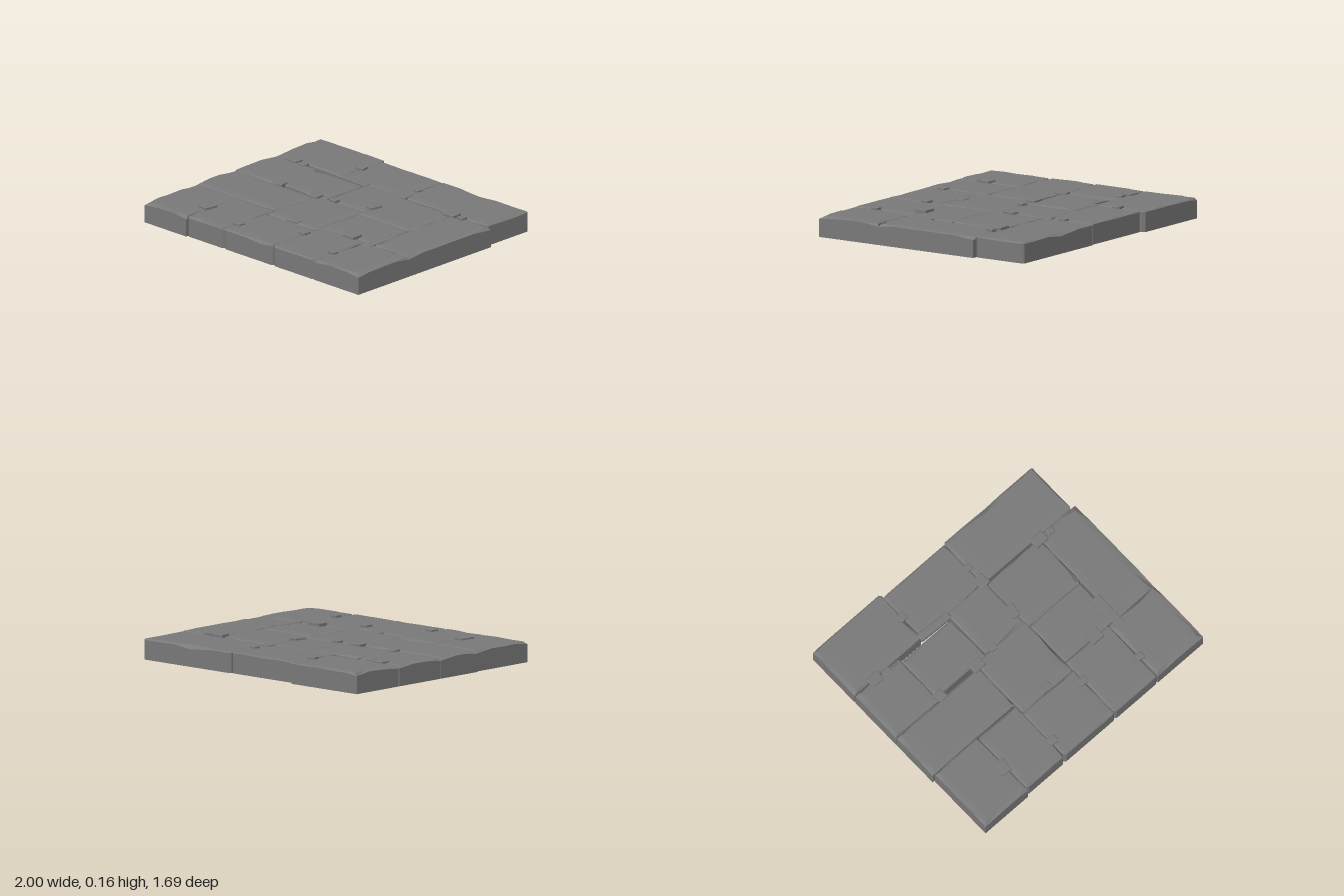
import * as THREE from 'three';

const material = new THREE.MeshStandardMaterial({ color: 0x7a7a7a, flatShading: true });

// Small seeded generator for repeatable wear
function seeded(seed) {
  let s = seed * 7919 + 17;
  return () => {
    s = (s * 16807) % 2147483647;
    return s / 2147483647;
  };
}

// Worn block: rings of a chamfered rectangle, stacked bottom -> rim -> top -> centre.
// soft lists the sides (l, r, f, b) with square corners and a wide, shallow slope.
function wornBlock({ w, d, y0, y1, corner, bevel, step, chip = 0, soft = '', seed }) {
  const rnd = seeded(seed);
  const hx = w / 2, hz = d / 2;
  const has = (side) => soft.includes(side);
  const edges = [
    { a: [-hx, hz], b: [hx, hz], sides: ['l', 'f', 'r'] },
    { a: [hx, hz], b: [hx, -hz], sides: ['f', 'r', 'b'] },
    { a: [hx, -hz], b: [-hx, -hz], sides: ['r', 'b', 'l'] },
    { a: [-hx, -hz], b: [-hx, hz], sides: ['b', 'l', 'f'] }
  ];

  const clamp = THREE.MathUtils.clamp;
  const base = [], rim = [], top = [], inner = [];
  for (const { a, b, sides } of edges) {
    const len = Math.hypot(b[0] - a[0], b[1] - a[1]);
    const [before, own, after] = sides.map(has);
    const c0 = before || own ? 0.001 : corner * (0.6 + 0.8 * rnd());
    const c1 = after || own ? 0.001 : corner * (0.6 + 0.8 * rnd());
    const n = Math.max(1, Math.round(len / step));
    for (let i = 0; i <= n; i++) {
      // Outline point, counterclockwise seen from above
      const end = i === 0 || i === n;
      const wobble = end ? 0 : (rnd() - 0.5) * 0.5;
      const t = (c0 + (len - c0 - c1) * (i + wobble) / n) / len;
      const x = a[0] + (b[0] - a[0]) * t;
      const z = a[1] + (b[1] - a[1]) * t;

      const wear = rnd() < chip ? 2 : 1;
      const k = bevel * (0.5 + rnd()) * wear;
      const slope = bevel * (1.5 + 2 * rnd());
      const softEnd = (i === 0 && (before || own)) || (i === n && (after || own));
      const drop = softEnd ? 0.022 : bevel * (0.5 + 0.7 * rnd()) * (own ? 0.8 : wear);
      const inset = (side) => (has(side) ? slope : k);

      base.push([x, y0, z]);
      rim.push([x, y1 - drop, z]);
      top.push([
        clamp(x, -hx + inset('l'), hx - inset('r')),
        y1 - bevel * (0.1 + 0.12 * rnd()),
        clamp(z, -hz + inset('b'), hz - inset('f'))
      ]);
      inner.push([x * 0.72, y1, z * 0.72]);
    }
  }

  const pos = [];
  const tri = (...p) => p.forEach((v) => pos.push(...v));
  const rings = [base, rim, top, inner];
  for (let i = 0; i < base.length; i++) {
    const j = (i + 1) % base.length;
    for (let r = 0; r < 3; r++) {
      const lo = rings[r], hi = rings[r + 1];
      tri(lo[i], lo[j], hi[j]);
      tri(lo[i], hi[j], hi[i]);
    }
    tri([0, y1, 0], inner[i], inner[j]);
    tri([0, y0, 0], base[j], base[i]);
  }
  const geometry = new THREE.BufferGeometry();
  geometry.setAttribute('position', new THREE.Float32BufferAttribute(pos, 3));
  geometry.computeVertexNormals();
  return geometry;
}

// Paving stones: x0, x1, z0, z1, softly worn outer sides
const STONES = [
  [-1, -0.39, -0.85, -0.437, 'l'],
  [-0.39, 0.168, -0.82, -0.448, ''],
  [0.169, 0.967, -0.83, -0.438, ''],
  [-1, -0.606, -0.43, -0.028, 'l'],
  [-0.606, -0.162, -0.4, -0.052, ''],
  [-0.156, 0.188, -0.45, -0.058, ''],
  [0.188, 0.662, -0.422, -0.01, ''],
  [0.662, 1, -0.438, 0.346, 'r'],
  [-1, -0.255, -0.022, 0.336, 'l'],
  [-0.255, 0.197, -0.06, 0.416, ''],
  [0.197, 0.65, -0.01, 0.342, ''],
  [-0.985, -0.597, 0.34, 0.842, 'lf'],
  [-0.597, -0.259, 0.347, 0.83, ''],
  [-0.259, 0.198, 0.416, 0.83, ''],
  [0.198, 0.586, 0.344, 0.83, ''],
  [0.587, 1, 0.346, 0.83, 'rf']
];

// Loose pebbles over the joints: x, z, width, depth, turn, top height
const PEBBLES = [
  [-0.395, -0.63, 0.065, 0.06, 0.1, 0.157],
  [0.17, -0.59, 0.052, 0.05, -0.1, 0.156],
  [-0.825, -0.427, 0.095, 0.075, -0.05, 0.156],
  [-0.725, -0.413, 0.06, 0.048, 0.1, 0.153],
  [0.655, -0.415, 0.105, 0.075, 0.05, 0.162],
  [0.752, -0.413, 0.052, 0.048, -0.1, 0.16],
  [0.18, -0.16, 0.065, 0.095, -0.2, 0.159],
  [0.175, -0.46, 0.075, 0.085, 0.1, 0.15],
  [-0.582, -0.045, 0.07, 0.075, 0.1, 0.154],
  [-0.255, -0.04, 0.095, 0.075, 0.04, 0.157],
  [-0.09, -0.06, 0.055, 0.05, -0.15, 0.16],
  [0.465, 0.34, 0.1, 0.085, 0, 0.164],
  [-0.028, 0.385, 0.095, 0.06, 0.05, 0.15],
  [-0.618, 0.61, 0.08, 0.105, -0.12, 0.159],
  [-0.243, 0.695, 0.065, 0.062, -0.1, 0.157],
  [0.19, 0.52, 0.065, 0.06, -0.08, 0.16],
  [0.59, 0.65, 0.055, 0.05, -0.1, 0.16]
];

// Flat splinters lying in the joints: x, z, width, depth, turn, top height
const SPLINTERS = [
  [-0.275, -0.437, 0.26, 0.055, -0.03, 0.148],
  [0.04, -0.455, 0.19, 0.022, 0.05, 0.145],
  [0.655, 0.27, 0.062, 0.27, -0.03, 0.148]
];

export function createModel() {
  const model = new THREE.Group();
  model.name = 'stonePaving';

  const add = (name, geometry, x, z, turn = 0) => {
    const mesh = new THREE.Mesh(geometry, material);
    mesh.name = name;
    mesh.position.set(x, 0, z);
    mesh.rotation.y = turn;
    model.add(mesh);
  };

  STONES.forEach(([x0, x1, z0, z1, soft], i) => {
    const geometry = wornBlock({
      w: x1 - x0, d: z1 - z0, y0: 0, y1: 0.144,
      corner: 0.013, bevel: 0.011, step: 0.13, chip: 0.12, soft, seed: i + 1
    });
    add('pavingStone' + (i + 1), geometry, (x0 + x1) / 2, (z0 + z1) / 2);
  });

  const addLoose = (name, list, seed) => list.forEach(([x, z, w, d, turn, y1], i) => {
    const geometry = wornBlock({ w, d, y0: 0.115, y1, corner: 0.004, bevel: 0.004, step: 0.12, seed: seed + i });
    add(name + (i + 1), geometry, x, z, turn);
  });
  addLoose('pebble', PEBBLES, 40);
  addLoose('splinter', SPLINTERS, 80);

  return model;
}
